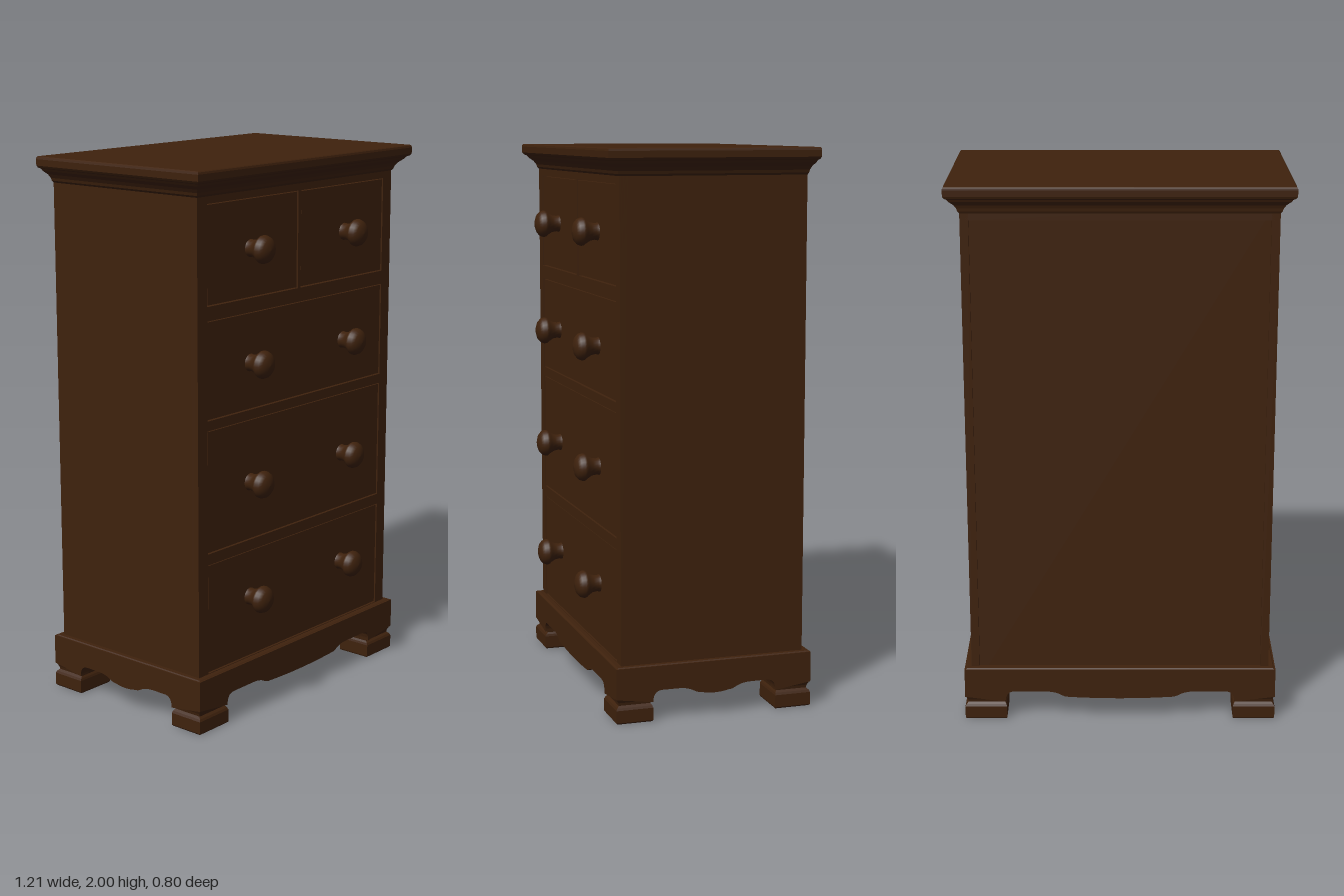
import * as THREE from 'three';

const wood = new THREE.MeshStandardMaterial({ color: 0x3f220d });
wood.name = 'dark brown wood';

function add(group, name, geometry, x = 0, y = 0, z = 0) {
  const mesh = new THREE.Mesh(geometry, wood);
  mesh.name = name;
  mesh.position.set(x, y, z);
  group.add(mesh);
  return mesh;
}

// Box given by its limits on each axis
function slab(group, name, x0, x1, y0, y1, z0, z1) {
  return add(group, name, new THREE.BoxGeometry(x1 - x0, y1 - y0, z1 - z0),
    (x0 + x1) / 2, (y0 + y1) / 2, (z0 + z1) / 2);
}

// Closed solid through rectangles listed from bottom to top: [y, x0, x1, z0, z1]
function loft(rings) {
  const pos = [];
  const corners = rings.map(([y, x0, x1, z0, z1]) =>
    [[x0, y, z1], [x1, y, z1], [x1, y, z0], [x0, y, z0]]);
  const quad = (a, b, c, d) => pos.push(...a, ...b, ...c, ...a, ...c, ...d);
  for (let i = 0; i + 1 < corners.length; i++) {
    for (let k = 0; k < 4; k++) {
      const n = (k + 1) % 4;
      quad(corners[i][k], corners[i][n], corners[i + 1][n], corners[i + 1][k]);
    }
  }
  const [a, b, c, d] = corners[0];
  quad(d, c, b, a);
  quad(...corners[corners.length - 1]);
  const g = new THREE.BufferGeometry();
  g.setAttribute('position', new THREE.Float32BufferAttribute(pos, 3));
  g.computeVertexNormals();
  return g;
}

function rectPath(x0, x1, y0, y1) {
  return new THREE.Path([[x0, y0], [x1, y0], [x1, y1], [x0, y1]].map(p => new THREE.Vector2(...p)));
}

// Scalloped skirt board, w = half width, f = foot width, s = half width of the middle drop
function apronGeometry(w, f, s) {
  const e = w - f, shape = new THREE.Shape();
  shape.moveTo(-w, 0.2);
  shape.lineTo(-w, 0.09);
  shape.lineTo(-e, 0.07);
  shape.quadraticCurveTo(-e, 0.112, -e + 0.035, 0.112);
  shape.lineTo(-s - 0.09, 0.112);
  shape.bezierCurveTo(-s - 0.03, 0.112, -s - 0.03, 0.09, -s, 0.09);
  shape.quadraticCurveTo(0, 0.078, s, 0.09);
  shape.bezierCurveTo(s + 0.03, 0.09, s + 0.03, 0.112, s + 0.09, 0.112);
  shape.lineTo(e - 0.035, 0.112);
  shape.quadraticCurveTo(e, 0.112, e, 0.07);
  shape.lineTo(w, 0.09);
  shape.lineTo(w, 0.2);
  return new THREE.ExtrudeGeometry(shape, { depth: 0.04, bevelEnabled: false, curveSegments: 10 });
}

export function createModel() {
  const model = new THREE.Group();
  model.name = 'chestOfDrawers';

  // Carcass, side panels and back rail around the slightly sunk back
  slab(model, 'carcass', -0.53, 0.53, 0.13, 1.93, -0.358, 0.29);
  for (const s of [-1, 1]) {
    const name = s > 0 ? 'leftSidePanel' : 'rightSidePanel';
    slab(model, name, s * 0.535 - 0.015, s * 0.535 + 0.015, 0.13, 1.93, -0.37, 0.308);
  }
  slab(model, 'backTopRail', -0.53, 0.53, 1.88, 1.93, -0.37, -0.35);

  // Drawer openings: [x0, x1, y0, y1]
  const openings = [
    [-0.5, -0.008, 1.53, 1.88], [0.008, 0.5, 1.53, 1.88],
    [-0.5, 0.5, 1.13, 1.48], [-0.5, 0.5, 0.65, 1.095], [-0.5, 0.5, 0.205, 0.61],
  ];
  const face = new THREE.Shape(rectPath(-0.55, 0.55, 0.15, 1.93).getPoints());
  face.holes = openings.map(o => rectPath(...o));
  add(model, 'frontFrame', new THREE.ExtrudeGeometry(face, { depth: 0.03, bevelEnabled: false }), 0, 0, 0.28);
  openings.forEach(([x0, x1, y0, y1], i) =>
    slab(model, 'drawerFront' + (i + 1), x0 + 0.004, x1 - 0.004, y0 + 0.004, y1 - 0.004, 0.28, 0.307));

  // Turned knobs
  const knobProfile = [[0.032, 0], [0.029, 0.012], [0.032, 0.03], [0.042, 0.047], [0.049, 0.055],
    [0.05, 0.063], [0.045, 0.076], [0.034, 0.086], [0.018, 0.092], [0, 0.094]];
  const knob = new THREE.LatheGeometry(knobProfile.map(p => new THREE.Vector2(...p)), 24);
  knob.rotateX(Math.PI / 2);
  for (const y of [1.705, 1.3, 0.865, 0.435])
    for (const x of [-0.267, 0.267]) add(model, 'knob', knob, x, y, 0.305);

  // Moulded cornice and top: [y, overhang], shallower at the back
  const cornice = [[1.905, 0], [1.912, 0.006], [1.922, 0.009], [1.935, 0.018], [1.948, 0.034],
    [1.956, 0.04], [1.96, 0.049], [1.967, 0.054], [1.99, 0.055], [1.997, 0.053], [2, 0.049]];
  add(model, 'corniceAndTop', loft(cornice.map(([y, d]) =>
    [y, -0.55 - d, 0.55 + d, -0.37 - d * 0.55, 0.31 + d])));

  // Base moulding and scalloped skirt on all four sides
  add(model, 'baseMoulding', loft([[0.19, -0.575, 0.575, -0.395, 0.335],
    [0.197, -0.574, 0.574, -0.394, 0.334], [0.203, -0.566, 0.566, -0.386, 0.326]]));
  const long = apronGeometry(0.575, 0.15, 0.19), short = apronGeometry(0.365, 0.135, 0.05);
  add(model, 'frontApron', long, 0, 0, 0.295);
  add(model, 'backApron', long, 0, 0, -0.395);
  add(model, 'leftApron', short, 0.535, 0, -0.03).rotation.y = Math.PI / 2;
  add(model, 'rightApron', short, -0.575, 0, -0.03).rotation.y = Math.PI / 2;

  // Bracket feet with a waist above the pad: [y, inset]
  const foot = [[0, 0.004], [0.005, 0], [0.05, 0], [0.058, 0.004], [0.065, 0.012],
    [0.075, 0.01], [0.092, 0.002], [0.13, 0]];
  for (const sx of [-1, 1]) {
    for (const sz of [-1, 1]) {
      const rings = foot.map(([y, d]) => {
        const xs = [sx * (0.575 - d), sx * (0.42 + d * 0.6)].sort((a, b) => a - b);
        const zs = [sz * (0.365 - d) - 0.03, sz * (0.23 + d * 0.6) - 0.03].sort((a, b) => a - b);
        return [y, ...xs, ...zs];
      });
      add(model, (sz > 0 ? 'front' : 'back') + (sx > 0 ? 'Left' : 'Right') + 'Foot', loft(rings));
    }
  }
  return model;
}
